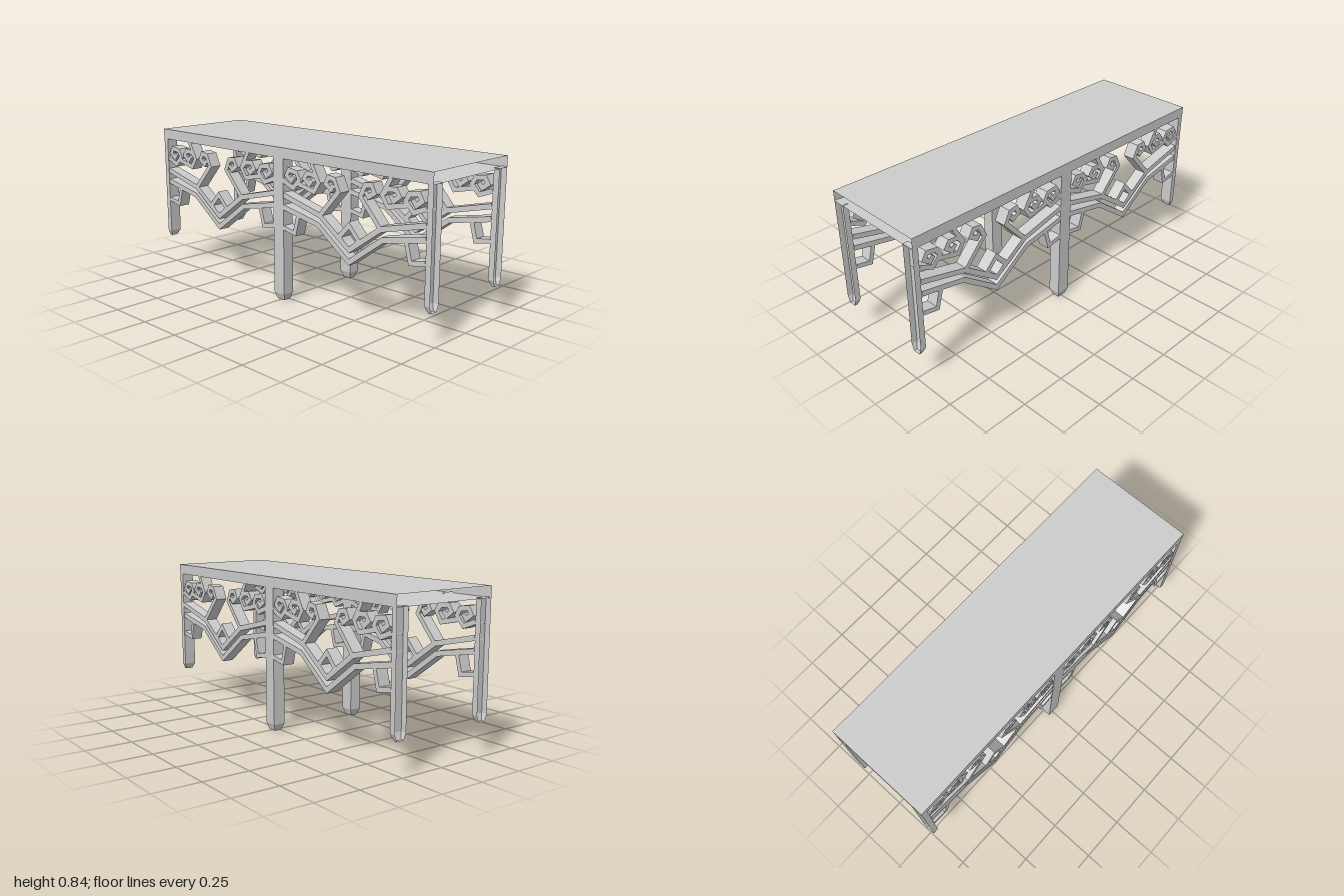
import * as THREE from 'three';

const material = new THREE.MeshStandardMaterial({ color: 0xcccccc, flatShading: true });
const openMaterial = new THREE.MeshStandardMaterial({ color: 0xcccccc, flatShading: true, side: THREE.DoubleSide });
const DEPTH = 0.066, RAIL_Z = 0.267, UNDERSIDE = 0.785;

function addMesh(parent, name, geometry, x = 0, y = 0, z = 0, mat = material) {
  const mesh = new THREE.Mesh(geometry, mat);
  mesh.name = name;
  mesh.position.set(x, y, z);
  parent.add(mesh);
}

// Box without some of its faces (0 +x, 1 -x, 2 +y, 3 -y, 4 +z, 5 -z)
function openBox(w, h, d, omit) {
  const g = new THREE.BoxGeometry(w, h, d);
  g.setIndex(Array.from(g.index.array).filter((_, i) => !omit.includes(Math.floor(i / 6))));
  g.clearGroups();
  return g;
}

// Flat bar following a polyline with mitred corners, extruded through the rail depth
function bar(points, width) {
  const p = points.map(([x, y]) => new THREE.Vector2(x, y));
  const left = [], right = [];
  p.forEach((c, i) => {
    const a = p[Math.max(i - 1, 0)], b = p[Math.min(i + 1, p.length - 1)];
    const d1 = c.clone().sub(a), d2 = b.clone().sub(c);
    if (i === 0) d1.copy(d2);
    if (i === p.length - 1) d2.copy(d1);
    d1.normalize();
    d2.normalize();
    const t = d1.clone().add(d2).normalize();
    const n = new THREE.Vector2(-t.y, t.x);
    n.multiplyScalar(width / 2 / Math.max(0.5, t.dot(d1)));
    left.push(c.clone().add(n));
    right.unshift(c.clone().sub(n));
  });
  const g = new THREE.ExtrudeGeometry(new THREE.Shape([...left, ...right]), { depth: DEPTH, bevelEnabled: false });
  return g.translate(0, 0, -DEPTH / 2);
}

// Bars that cross the bay centre; left half only, x measured from the bay centre
const CENTRE_BARS = [
  ['upperBand', 0.028, [[-0.466, 0.59], [-0.198, 0.524], [0, 0.383]]],
  ['lowerBand', 0.028, [[-0.466, 0.524], [-0.212, 0.474], [0, 0.32]]],
  ['diamond', 0.026, [[-0.035, 0.408], [-0.064, 0.44], [0, 0.508]]],
];

// Bars that appear once on each side of the bay
const SIDE_BARS = [
  ['hangingBracket', 0.024, [[-0.466, 0.412], [-0.38, 0.396], [-0.355, 0.49]]],
  ['beamStrut', 0.024, [[-0.258, 0.782], [-0.207, 0.695]]],
  ['outerScroll', 0.025, [[-0.466, 0.668], [-0.39, 0.638], [-0.345, 0.685], [-0.365, 0.721],
    [-0.42, 0.729], [-0.438, 0.698], [-0.405, 0.674], [-0.385, 0.698]]],
  ['middleScroll', 0.025, [[-0.357, 0.667], [-0.24, 0.64], [-0.206, 0.692], [-0.236, 0.725],
    [-0.288, 0.729], [-0.308, 0.7], [-0.274, 0.674], [-0.253, 0.698]]],
  ['innerScroll', 0.025, [[-0.198, 0.524], [-0.072, 0.664], [-0.1, 0.723], [-0.14, 0.729],
    [-0.158, 0.694], [-0.122, 0.67], [-0.104, 0.694]]],
];

function makeBay(cx, z) {
  const bay = new THREE.Group();
  bay.name = 'latticeBay';
  bay.position.set(cx, 0, z);
  const mirror = (points) => points.map(([x, y]) => [-x, y]);
  for (const [name, width, points] of CENTRE_BARS) {
    const otherHalf = mirror(points.slice(0, -1)).reverse();
    addMesh(bay, name, bar([...points, ...otherHalf], width));
  }
  for (const [name, width, points] of SIDE_BARS) {
    addMesh(bay, name, bar(points, width));
    addMesh(bay, name, bar(mirror(points), width));
  }
  return bay;
}

// Straight post with a tapered foot; side 0 is a full post, +-1 is a half post open outwards
function makePost(name, x0, x1, bottom, shoulder, z, side) {
  const post = new THREE.Group();
  post.name = name;
  const open = side > 0 ? [0] : side < 0 ? [1] : [];
  const mat = side ? openMaterial : material;
  const w = x1 - x0, cx = (x0 + x1) / 2;
  const h = UNDERSIDE - shoulder, footHeight = shoulder - bottom;
  addMesh(post, 'shaft', openBox(w, h, DEPTH + 0.002, [...open, 3]), cx, shoulder + h / 2, z, mat);
  const foot = openBox(w, footHeight, DEPTH + 0.002, [...open, 2]);
  const p = foot.attributes.position;
  for (let i = 0; i < p.count; i++) {
    if (p.getY(i) > 0) continue;
    p.setZ(i, p.getZ(i) * 0.6);
    if (Math.sign(p.getX(i)) !== side) p.setX(i, p.getX(i) - Math.sign(p.getX(i)) * 0.014);
  }
  foot.computeVertexNormals();
  addMesh(post, 'foot', foot, cx, bottom + footHeight / 2, z, mat);
  return post;
}

export function createModel() {
  const model = new THREE.Group();
  model.name = 'latticeBridge';

  // Deck with open ends
  addMesh(model, 'deck', openBox(2, 0.058, 0.604, [0, 1]), 0, 0.811, 0, openMaterial);

  // Posts and lattice along both long sides
  for (const z of [RAIL_Z, -RAIL_Z]) {
    model.add(makePost('centrePost', -0.038, 0.038, 0, 0.038, z, 0));
    model.add(makePost('leftEndPost', 0.968, 1, 0.177, 0.211, z, 1));
    model.add(makePost('rightEndPost', -1, -0.968, 0.177, 0.211, z, -1));
    for (const cx of [-0.5, 0.5]) model.add(makeBay(cx, z));
  }
  return model;
}
